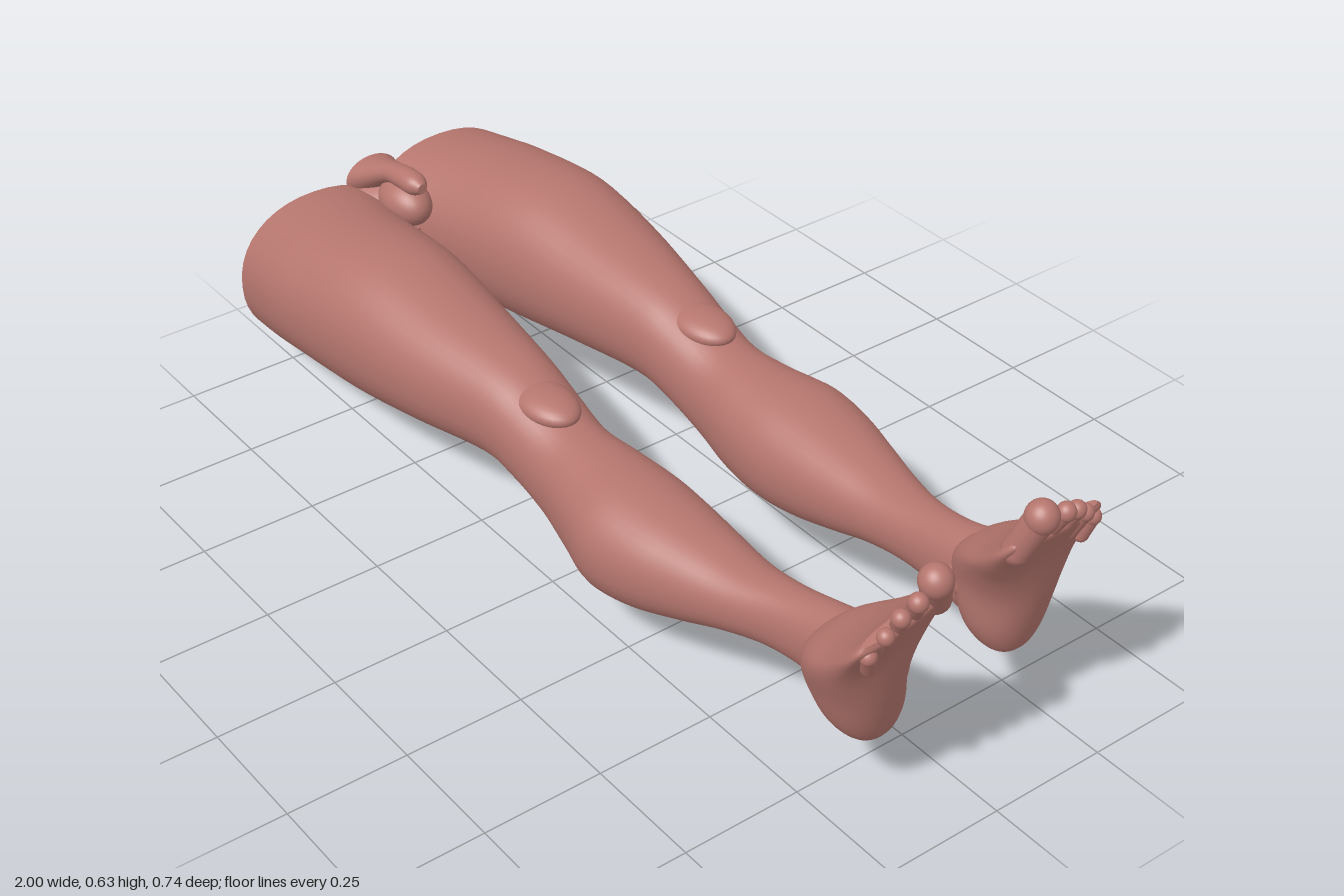
import * as THREE from 'three';

const skin = new THREE.MeshStandardMaterial({ color: 0xb5766e });
const V = (x, y, z) => new THREE.Vector3(x, y, z);

// Smooth closed loft. Rows: [t, aMin, aMax, zMin, zMax], t running along the axis,
// a being y for axis 'x' and x for axis 'y'. side -1 mirrors across z.
function loft(name, rows, axis, side, power = 2.2, steps = 5, round = 40) {
  const spline = f => new THREE.CatmullRomCurve3(rows.map(f), false, 'catmullrom', 0.5);
  const low = spline(r => V(r[0], r[1], r[3]));
  const high = spline(r => V(r[0], r[2], r[4]));
  const n = (rows.length - 1) * steps;
  const pos = [], index = [];
  const put = (t, a, z) => (axis === 'x' ? pos.push(t, a, z * side) : pos.push(a, t, z * side));
  const flip = (axis === 'y') !== (side < 0);
  const tri = (a, b, c) => (flip ? index.push(a, c, b) : index.push(a, b, c));
  const ring = i => {
    const l = low.getPoint(i / n), h = high.getPoint(i / n);
    for (let j = 0; j < round; j++) {
      const q = (j / round) * Math.PI * 2, c = Math.cos(q), s = Math.sin(q);
      const ca = Math.sign(c) * Math.abs(c) ** (2 / power);
      const sa = Math.sign(s) * Math.abs(s) ** (2 / power);
      put(l.x, (l.y + h.y) / 2 + (ca * (h.y - l.y)) / 2, (l.z + h.z) / 2 + (sa * (h.z - l.z)) / 2);
    }
    return [l.x, (l.y + h.y) / 2, (l.z + h.z) / 2];
  };
  for (let i = 0; i <= n; i++) ring(i);
  for (let i = 0; i < n; i++) {
    for (let j = 0; j < round; j++) {
      const k = (j + 1) % round, a = i * round, b = a + round;
      tri(a + j, a + k, b + j);
      tri(a + k, b + k, b + j);
    }
  }
  // flat end caps with their own vertices
  for (const end of [0, n]) {
    const start = pos.length / 3;
    put(...ring(end));
    for (let j = 0; j < round; j++) {
      const k = (j + 1) % round;
      if (end) tri(start + round, start + j, start + k);
      else tri(start + round, start + k, start + j);
    }
  }
  const g = new THREE.BufferGeometry();
  g.setAttribute('position', new THREE.Float32BufferAttribute(pos, 3));
  g.setIndex(index);
  g.computeVertexNormals();
  return part(name, g);
}

function part(name, geometry) {
  const m = new THREE.Mesh(geometry, skin);
  m.name = name;
  return m;
}

function ellipsoid(name, p, r) {
  const m = part(name, new THREE.SphereGeometry(1, 28, 18));
  m.position.set(...p);
  m.scale.set(...r);
  return m;
}

function capsule(name, a, b, r) {
  const d = b.clone().sub(a);
  const m = part(name, new THREE.CapsuleGeometry(r, d.length(), 8, 20));
  m.position.copy(a).add(b).multiplyScalar(0.5);
  m.quaternion.setFromUnitVectors(V(0, 1, 0), d.normalize());
  return m;
}

// thigh, knee, calf and ankle
const legRows = [
  [-1, 0.06, 0.395, -0.03, 0.355], [-0.9, 0.08, 0.41, -0.01, 0.365],
  [-0.8, 0.1, 0.425, 0.01, 0.37], [-0.6, 0.12, 0.45, 0.03, 0.363],
  [-0.4, 0.153, 0.427, 0.055, 0.338], [-0.2, 0.18, 0.4, 0.083, 0.295],
  [-0.1, 0.165, 0.372, 0.092, 0.283], [0, 0.132, 0.345, 0.096, 0.28],
  [0.1, 0.11, 0.343, 0.08, 0.3], [0.2, 0.103, 0.345, 0.07, 0.325],
  [0.3, 0.118, 0.338, 0.075, 0.313], [0.4, 0.147, 0.328, 0.087, 0.283],
  [0.5, 0.18, 0.32, 0.1, 0.25], [0.6, 0.198, 0.33, 0.105, 0.22],
  [0.7, 0.198, 0.352, 0.1, 0.208], [0.78, 0.19, 0.378, 0.095, 0.215],
  [0.86, 0.22, 0.42, 0.1, 0.215],
];

const buttockRows = [
  [-1, 0, 0.3, -0.02, 0.25], [-0.95, 0.005, 0.3, -0.015, 0.25], [-0.9, 0.025, 0.29, 0, 0.25],
  [-0.85, 0.06, 0.27, 0.02, 0.245], [-0.8, 0.1, 0.25, 0.05, 0.23], [-0.72, 0.14, 0.22, 0.09, 0.2],
];

// foot from heel to ball
const footRows = [
  [0.152, 0.81, 0.85, 0.14, 0.18], [0.172, 0.77, 0.868, 0.113, 0.213],
  [0.22, 0.74, 0.885, 0.09, 0.235], [0.3, 0.715, 0.905, 0.08, 0.244],
  [0.36, 0.745, 0.918, 0.06, 0.25], [0.42, 0.83, 0.932, 0.034, 0.25],
  [0.47, 0.89, 0.95, 0.021, 0.248], [0.5, 0.92, 0.963, 0.027, 0.24],
  [0.515, 0.935, 0.96, 0.045, 0.225],
];

// base y, base z, tip x, tip y, tip z, radius
const toes = [
  [0.48, 0.056, 0.966, 0.562, 0.072, 0.031],
  [0.48, 0.112, 0.975, 0.556, 0.12, 0.018],
  [0.47, 0.148, 0.968, 0.541, 0.154, 0.017],
  [0.46, 0.18, 0.96, 0.516, 0.185, 0.016],
  [0.44, 0.212, 0.948, 0.486, 0.218, 0.016],
];

function foot(side, turn, heelZ) {
  const g = new THREE.Group();
  g.name = 'foot';
  const inner = new THREE.Group();
  inner.name = 'footParts';
  inner.position.set(0, -0.25, -side * 0.165);
  inner.add(loft('footBody', footRows, 'y', side, 2.3));
  toes.forEach(([by, bz, tx, ty, tz, r], i) => {
    inner.add(capsule('toe' + (i + 1), V(0.932, by, side * bz), V(tx, ty, side * tz), r * 0.9));
    inner.add(ellipsoid('toeTip' + (i + 1), [tx, ty, side * tz], [r, r * 1.05, r]));
  });
  g.add(inner);
  g.position.set(0, 0.25, side * heelZ);
  g.rotation.x = side * turn;
  return g;
}

function leg(name, side, lift, turn, heelZ) {
  const g = new THREE.Group();
  g.name = name;
  g.position.y = lift;
  g.add(loft('legBody', legRows, 'x', side));
  g.add(ellipsoid('kneecap', [-0.09, 0.353, side * 0.19], [0.085, 0.03, 0.055]));
  // ankle bones
  g.add(ellipsoid('innerAnkle', [0.765, 0.285, side * 0.106], [0.04, 0.035, 0.02]));
  g.add(ellipsoid('outerAnkle', [0.785, 0.265, side * 0.208], [0.04, 0.032, 0.02]));
  g.add(foot(side, turn, heelZ));
  return g;
}

export function createModel() {
  const model = new THREE.Group();
  model.name = 'lowerBody';
  model.add(leg('frontLeg', 1, 0, 0.25, 0.175));
  model.add(leg('backLeg', -1, 0.035, 0, 0.165));

  // buttocks and the tissue joining the thighs
  for (const side of [1, -1]) {
    const b = loft('buttock', buttockRows, 'x', side);
    b.position.y = side > 0 ? 0 : 0.02;
    model.add(b);
  }
  model.add(loft('pelvis', [
    [-1, 0.07, 0.4, -0.12, 0.12], [-0.93, 0.08, 0.39, -0.11, 0.11],
    [-0.88, 0.1, 0.36, -0.09, 0.09], [-0.84, 0.14, 0.32, -0.06, 0.06],
  ], 'x', 1));

  // groin anatomy, kept to simple forms
  model.add(ellipsoid('groinLower', [-0.87, 0.38, 0.012], [0.075, 0.05, 0.05]));
  model.add(loft('groinUpper', [
    [-1, 0.34, 0.435, -0.05, 0.08], [-0.95, 0.38, 0.448, -0.025, 0.06],
    [-0.9, 0.415, 0.462, -0.008, 0.046], [-0.85, 0.422, 0.472, -0.008, 0.046],
    [-0.81, 0.425, 0.472, -0.006, 0.044], [-0.785, 0.438, 0.46, 0.008, 0.03],
  ], 'x', 1, 2));
  return model;
}
